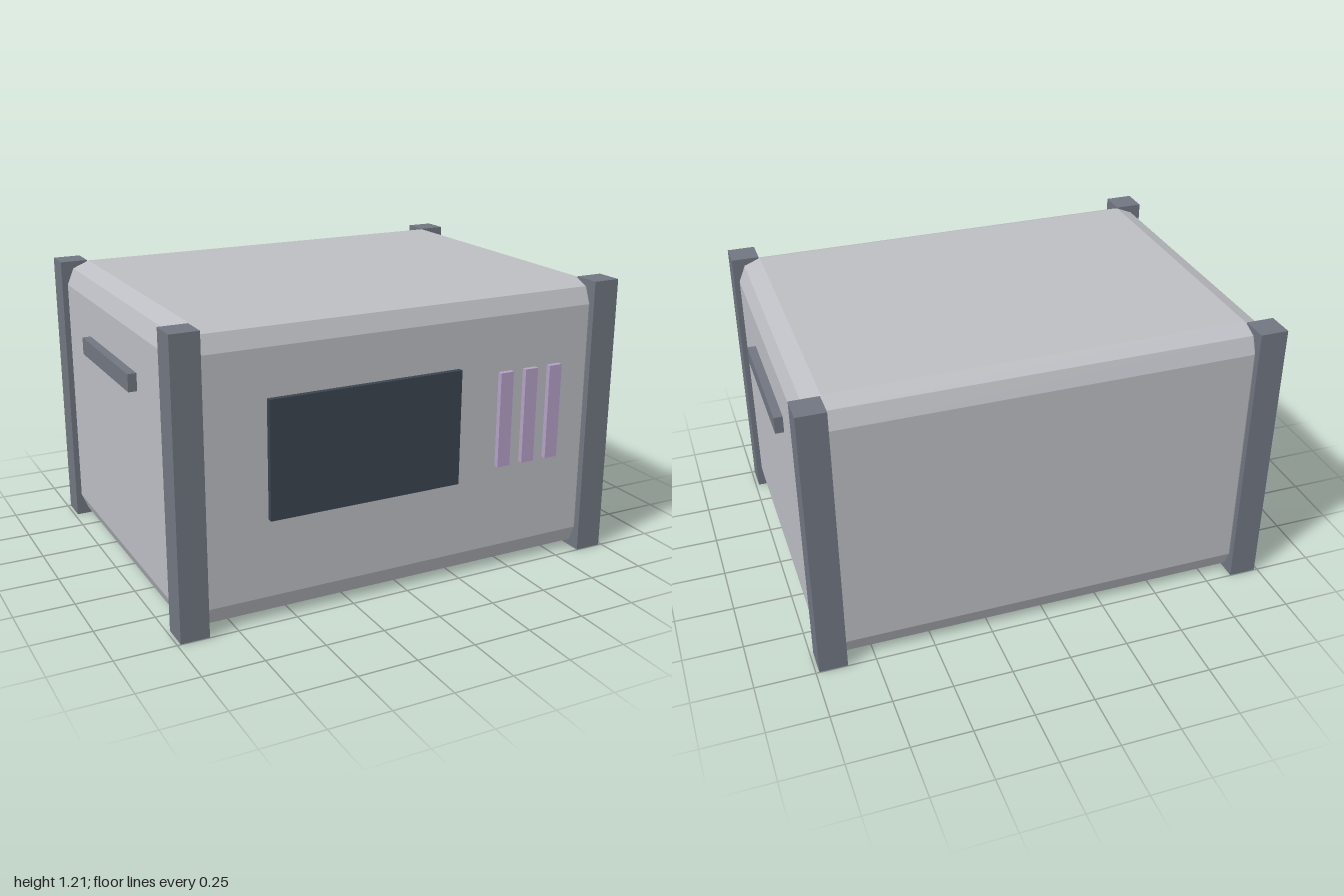
import * as THREE from 'three';
import { RoundedBoxGeometry } from 'three/addons/geometries/RoundedBoxGeometry.js';

const material = (name, color) => {
  const m = new THREE.MeshStandardMaterial({ color });
  m.name = name;
  return m;
};

export function createModel() {
  const shell = material('light grey shell', 0xbcbec3);
  const frame = material('dark grey frame', 0x717681);
  const glass = material('dark screen', 0x3a4450);
  const lilac = material('lilac', 0xb5a2c8);

  const model = new THREE.Group();
  model.name = 'crate';

  const add = (name, geometry, mat, x, y, z) => {
    const mesh = new THREE.Mesh(geometry, mat);
    mesh.name = name;
    mesh.position.set(x, y, z);
    model.add(mesh);
  };
  const box = (w, h, d) => new THREE.BoxGeometry(w, h, d);

  const height = 1.205;
  const halfDepth = 0.72;

  // Body: every edge rounded with two flat facets
  const bodyGeometry = new RoundedBoxGeometry(1.928, height, 2 * halfDepth, 1, 0.1);
  bodyGeometry.computeVertexNormals();
  add('body', bodyGeometry, shell, 0, height / 2, 0);

  for (const side of [-1, 1]) {
    const sideName = side > 0 ? 'left' : 'right';

    // Corner posts
    for (const end of [-1, 1]) {
      add(sideName + (end > 0 ? 'Front' : 'Back') + 'Post', box(0.118, height, 0.118),
        frame, side * 0.927, height / 2, end * 0.689);
    }

    // Carrying handle, set slightly into the side
    add(sideName + 'Handle', box(0.06, 0.073, 0.605), frame, side * 0.97, 0.907, 0);
  }

  // Front screen
  add('screen', box(0.84, 0.485, 0.04), glass, -0.184, 0.667, 0.723);

  // Three upright bars beside the screen
  for (let i = 0; i < 3; i++) {
    add('bar' + (i + 1), box(0.06, 0.407, 0.04), lilac, 0.456 + i * 0.12, 0.667, 0.722);
  }

  return model;
}
